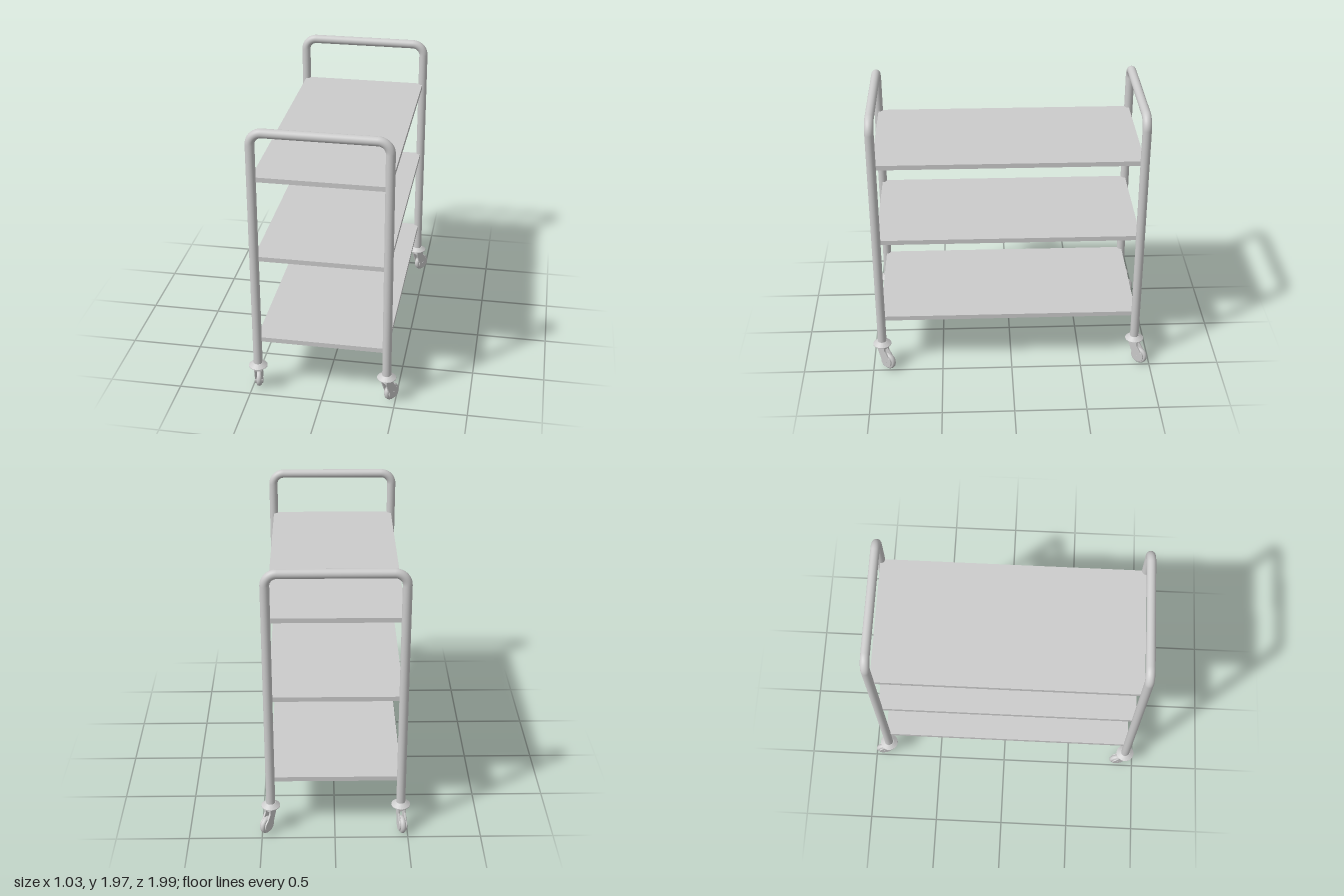
import * as THREE from 'three';

const material = new THREE.MeshStandardMaterial({ color: 0xcccccc });
const LEFT = 0.44, RIGHT = -0.453, FRONT = 0.931, BACK = -0.89;
const MID_X = (LEFT + RIGHT) / 2, MID_Z = (FRONT + BACK) / 2;
const TUBE = 0.031, BEND = 0.08, TOP = 1.939, LEG_BOTTOM = 0.21;

function add(parent, name, geometry, x = 0, y = 0, z = 0) {
  const mesh = new THREE.Mesh(geometry, material);
  mesh.name = name;
  mesh.position.set(x, y, z);
  parent.add(mesh);
  return mesh;
}

// Upside-down U of round tube: two legs, two bends and a handle bar
function createEndFrame(name) {
  const frame = new THREE.Group();
  frame.name = name;
  const legHeight = TOP - BEND - LEG_BOTTOM;
  for (const [x, side] of [[LEFT, 1], [RIGHT, -1]]) {
    add(frame, 'leg', new THREE.CylinderGeometry(TUBE, TUBE, legHeight, 24), x, LEG_BOTTOM + legHeight / 2);
    const bend = add(frame, 'bend', new THREE.TorusGeometry(BEND, TUBE, 24, 12, Math.PI / 2), x - side * BEND, TOP - BEND);
    if (side < 0) bend.rotation.z = Math.PI / 2;
  }
  const bar = new THREE.CylinderGeometry(TUBE, TUBE, LEFT - RIGHT - 2 * BEND, 24, 1, true);
  add(frame, 'handleBar', bar.rotateZ(Math.PI / 2), MID_X, TOP);
  return frame;
}

// Swivel caster trailing along its local +x
function createCaster() {
  const caster = new THREE.Group();
  caster.name = 'caster';
  const wheelX = 0.048, wheelY = 0.066, wheelR = 0.062;

  // Conical collar under the leg
  const collar = [[0, 0.188], [0.045, 0.188], [0.065, 0.196], [0.065, 0.2], [0.034, 0.223], [0, 0.223]];
  const points = collar.map(([r, y]) => new THREE.Vector2(r, y));
  const collarGeometry = new THREE.LatheGeometry(points, 32).toNonIndexed();
  collarGeometry.computeVertexNormals();
  add(caster, 'collar', collarGeometry);

  // Two cranked fork plates, rounded around the axle
  const shape = new THREE.Shape();
  shape.moveTo(-0.03, 0.192);
  shape.lineTo(-0.028, 0.16);
  shape.lineTo(wheelX - 0.043, wheelY + 0.008);
  shape.absarc(wheelX, wheelY, 0.044, Math.PI * 0.95, Math.PI * 2.35, false);
  shape.lineTo(0.039, 0.15);
  shape.lineTo(0.035, 0.192);
  const plate = new THREE.ExtrudeGeometry(shape, {
    depth: 0.008, bevelEnabled: true, bevelThickness: 0.003, bevelSize: 0.003,
    bevelOffset: -0.003, bevelSegments: 2, curveSegments: 20,
  });
  for (const z of [-0.025, 0.017]) add(caster, 'forkPlate', plate, 0, 0, z);
  add(caster, 'forkBridge', new THREE.BoxGeometry(0.058, 0.03, 0.04), 0.003, 0.175);

  // Wheel with a rounded tread
  const half = 0.018, round = 0.014;
  const profile = [new THREE.Vector2(0, -half)];
  for (let i = 0; i <= 8; i++) {
    const a = -Math.PI / 2 + (Math.PI * i) / 8;
    profile.push(new THREE.Vector2(wheelR - round + round * Math.cos(a), half * Math.sin(a)));
  }
  profile.push(new THREE.Vector2(0, half));
  const wheel = new THREE.LatheGeometry(profile, 32).rotateX(Math.PI / 2);
  add(caster, 'wheel', wheel, wheelX, wheelR + 0.002, 0);
  const axle = new THREE.CylinderGeometry(0.009, 0.009, 0.06, 16).rotateX(Math.PI / 2);
  add(caster, 'axle', axle, wheelX, wheelY);
  return caster;
}

export function createModel() {
  const cart = new THREE.Group();
  cart.name = 'shelfCart';

  for (const [name, z] of [['frontFrame', FRONT], ['backFrame', BACK]]) {
    const frame = createEndFrame(name);
    frame.position.z = z;
    cart.add(frame);
    // Casters are swivelled differently on the two sides
    for (const [x, turn] of [[LEFT, 0.93], [RIGHT, 1.75]]) {
      const caster = createCaster();
      caster.position.set(x, 0, z);
      caster.rotation.y = turn;
      cart.add(caster);
    }
  }

  // Three flat shelves between the leg centres
  const shelf = new THREE.BoxGeometry(LEFT - RIGHT, 0.033, FRONT - BACK);
  for (const y of [0.41, 1.037, 1.614]) add(cart, 'shelf', shelf, MID_X, y, MID_Z);
  return cart;
}
